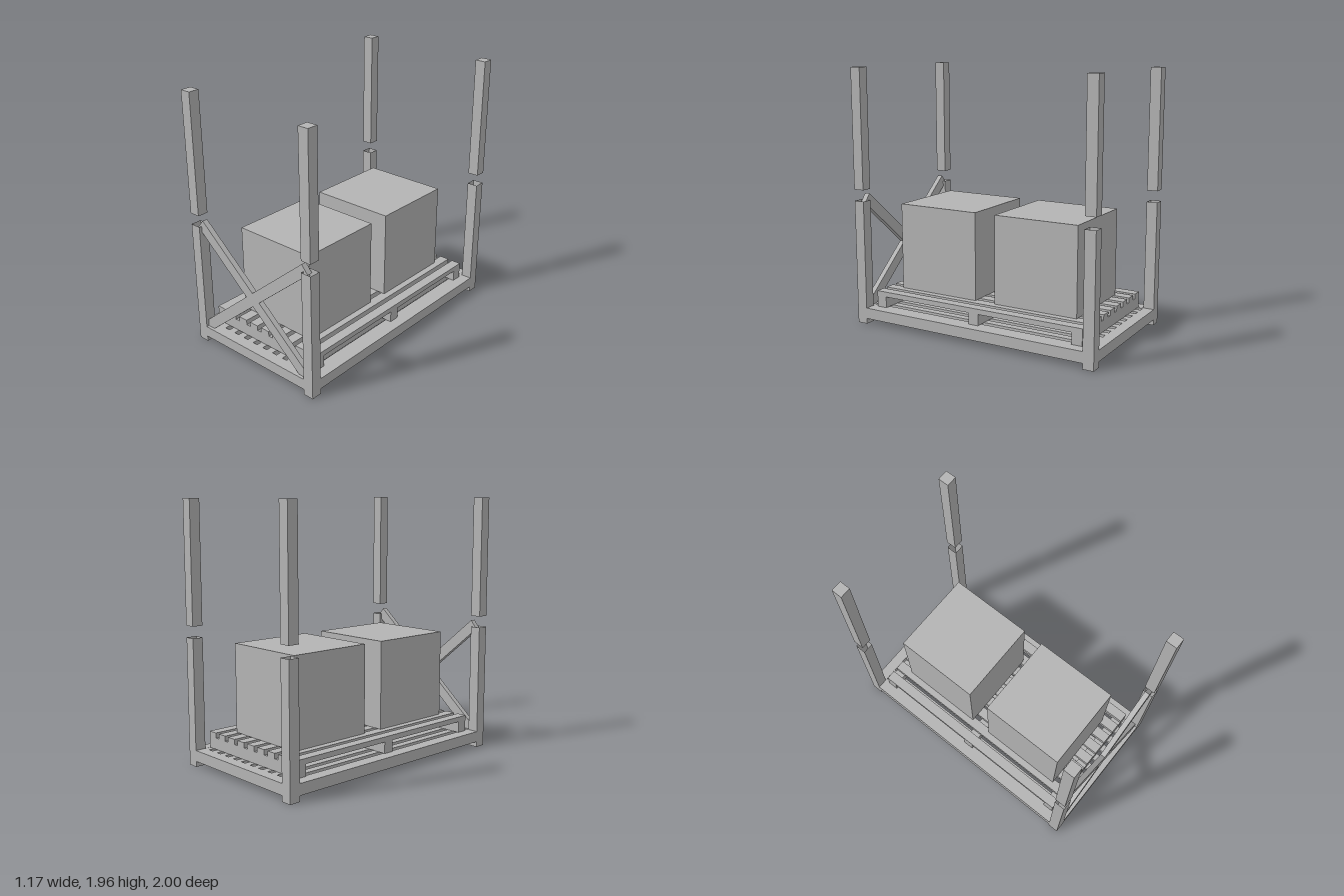
import * as THREE from 'three';

const steel = new THREE.MeshStandardMaterial({ color: 0xb4b4b4, side: THREE.DoubleSide });
steel.name = 'plain grey';

// Box given by its lower and upper bounds on each axis
function box(parent, name, [x0, x1], [y0, y1], [z0, z1]) {
  const mesh = new THREE.Mesh(new THREE.BoxGeometry(x1 - x0, y1 - y0, z1 - z0), steel);
  mesh.position.set((x0 + x1) / 2, (y0 + y1) / 2, (z0 + z1) / 2);
  mesh.name = name;
  parent.add(mesh);
  return mesh;
}

// Remove the top (face 2) or bottom (face 3) of a box to leave a hollow tube
function openFaces(mesh, faces) {
  const g = mesh.geometry;
  const index = Array.from(g.index.array);
  g.setIndex(index.filter((_, i) => !faces.includes(Math.floor(i / 6))));
  g.clearGroups();
}

function group(parent, name) {
  const g = new THREE.Group();
  g.name = name;
  parent.add(g);
  return g;
}

export function createModel() {
  const model = new THREE.Group();
  model.name = 'stackingRack';
  const inX = 0.5, outX = 0.583, inZ = 0.917, outZ = 1;

  // Corner posts: open lower sockets and capped extensions lifted above them
  const posts = group(model, 'posts');
  for (const sx of [-1, 1]) {
    for (const sz of [-1, 1]) {
      const xs = sx > 0 ? [inX, outX] : [-outX, -inX];
      const zs = sz > 0 ? [inZ, outZ] : [-outZ, -inZ];
      openFaces(box(posts, 'lowerPost', xs, [0, 0.958], zs), [2, 3]);
      openFaces(box(posts, 'upperPost', xs, [1.045, 1.96], zs), [3]);
    }
  }

  // Base frame beams
  const base = group(model, 'baseFrame');
  const beamY = [0.042, 0.125];
  for (const s of [-1, 1]) {
    box(base, 'sideBeam', s > 0 ? [inX, outX] : [-outX, -inX], beamY, [-inZ, inZ]);
    box(base, 'endBeam', [-inX, inX], beamY, s > 0 ? [inZ, outZ] : [-outZ, -inZ]);
  }

  // Lengthwise floor slats
  for (let i = 0; i < 11; i++) {
    const x = -0.511 + i * 0.0992;
    box(base, 'floorSlat', [x - 0.029, x + 0.029], [0.083, 0.124], [-inZ, inZ]);
  }

  // Pallet: three cross bearers under nine boards
  const pallet = group(model, 'pallet');
  for (const z of [-0.833, 0, 0.833]) {
    box(pallet, 'bearer', [-0.499, 0.499], [0.125, 0.211], [z - 0.041, z + 0.041]);
  }
  for (let i = -4; i <= 4; i++) {
    const x = i * 0.115;
    box(pallet, 'palletBoard', [x - 0.039, x + 0.039], [0.211, 0.25], [-0.875, 0.875]);
  }

  // Two cargo boxes
  for (const s of [-1, 1]) {
    box(model, 'cargoBox', [-0.333, 0.333], [0.25, 0.917], s > 0 ? [0.083, 0.75] : [-0.75, -0.083]);
  }

  // Crossed braces at the front
  const braces = group(model, 'crossBraces');
  for (const s of [-1, 1]) {
    const bar = box(braces, 'brace', [-0.667, 0.667], [0.504, 0.586], [0.937, 0.978]);
    bar.rotation.z = s * THREE.MathUtils.degToRad(40);
  }

  return model;
}
